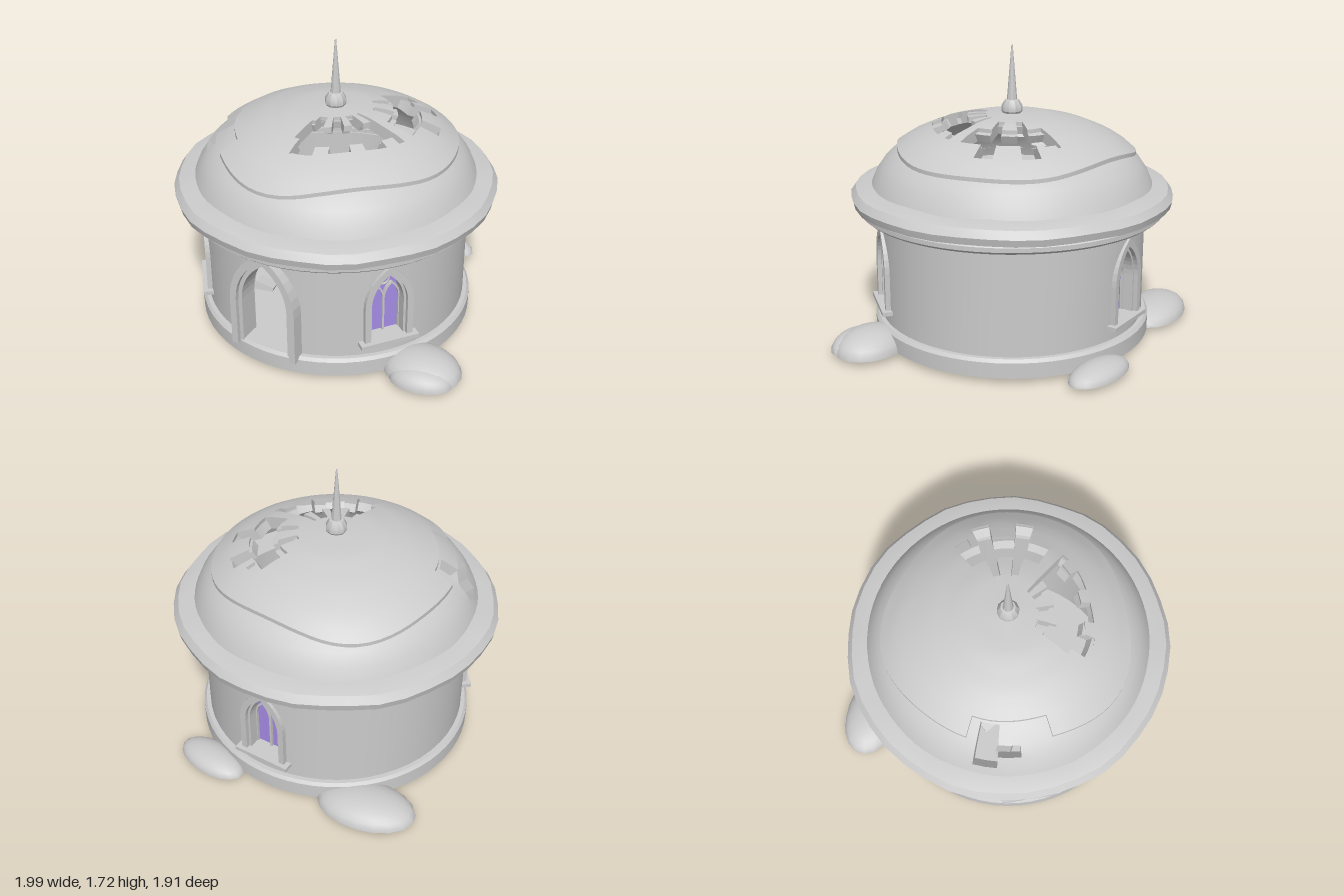
import * as THREE from 'three';
import { toCreasedNormals } from 'three/addons/utils/BufferGeometryUtils.js';

const AX = -0.045; // axis of the rotunda
const stone = new THREE.MeshStandardMaterial({ color: 0xcccccc, side: THREE.DoubleSide });
const glassMat = new THREE.MeshStandardMaterial({ color: 0xa68ce6 });
const woodMat = new THREE.MeshStandardMaterial({ color: 0x7a6248 });
const deg = Math.PI / 180;

function add(parent, name, geo, mat = stone, x = 0, y = 0, z = 0) {
  const m = new THREE.Mesh(geo, mat);
  m.name = name;
  m.position.set(x, y, z);
  parent.add(m);
  return m;
}
const V = pts => pts.map(p => new THREE.Vector2(p[0], p[1]));
const lathe = (pts, n = 64) => toCreasedNormals(new THREE.LatheGeometry(V(pts), n), 0.5);

// Piecewise-linear height over radius
function sample(table, r) {
  for (let i = 1; i < table.length; i++) {
    const [r0, y0] = table[i - 1], [r1, y1] = table[i];
    if (r <= r1) return y0 + (y1 - y0) * (r - r0) / (r1 - r0);
  }
  return table[table.length - 1][1];
}

// Geometry from a list of quads, each four [x, y, z] corners
function quadGeometry(quads) {
  const pos = [];
  for (const [a, b, c, d] of quads) pos.push(...a, ...b, ...c, ...a, ...c, ...d);
  const g = new THREE.BufferGeometry();
  g.setAttribute('position', new THREE.Float32BufferAttribute(pos, 3));
  return toCreasedNormals(g, 0.4);
}

// Thick round shell of polar cells; missing cells get solid edges
function shell(rows, cols, point, solid) {
  const quads = [];
  const at = (i, j, k) => point(i, (j % cols) / cols * Math.PI * 2, k);
  const has = (i, j) => i >= 0 && i < rows && solid(i, ((j + cols) % cols + 0.5) / cols * Math.PI * 2);
  for (let i = 0; i < rows; i++) for (let j = 0; j < cols; j++) {
    if (!has(i, j)) continue;
    for (const k of [0, 1]) {
      const q = [at(i, j, k), at(i, j + 1, k), at(i + 1, j + 1, k), at(i + 1, j, k)];
      quads.push(k ? q : q.reverse());
    }
    const edge = (i0, j0, i1, j1) => quads.push([at(i0, j0, 0), at(i1, j1, 0), at(i1, j1, 1), at(i0, j0, 1)]);
    if (i > 0 && !has(i - 1, j)) edge(i, j, i, j + 1);
    if (!has(i + 1, j)) edge(i + 1, j, i + 1, j + 1);
    if (!has(i, j - 1)) edge(i, j, i + 1, j);
    if (!has(i, j + 1)) edge(i, j + 1, i + 1, j + 1);
  }
  return quadGeometry(quads);
}

// Pointed arch: height over x, outline, band and pane
function archY(x, w, ys, ya) {
  const h = ya - ys, R = (h * h + w * w) / (2 * w);
  return ys + Math.sqrt(Math.max(0, R * R - (Math.abs(x) + R - w) ** 2));
}
function archPts(w, y0, ys, ya) {
  const pts = [[-w, y0]];
  for (let i = 0; i <= 16; i++) {
    const x = -w * Math.cos(i / 16 * Math.PI);
    pts.push([x, archY(x, w, ys, ya)]);
  }
  pts.push([w, y0]);
  return pts;
}
function extrude(pts, depth) {
  return new THREE.ExtrudeGeometry(new THREE.Shape(V(pts)), { depth, bevelEnabled: false });
}
const archBand = (w, t, y0, ys, ya, depth) =>
  extrude([...archPts(w, y0, ys, ya), ...archPts(w - t, y0, ys, ya - t * 1.3).reverse()], depth);

// Round wall pierced by arched openings
const openings = [
  { az: 0, w: 0.165, y0: 0.12, ys: 0.42, ya: 0.72 },
  ...[51.4, 180, -51.4].map(d => ({ az: d * deg, w: 0.115, y0: 0.23, ys: 0.46, ya: 0.67 })),
];
function wallGeometry(ro, ri, yb, yt) {
  const angles = [];
  const off = (a, o) => Math.atan2(Math.sin(a - o.az), Math.cos(a - o.az));
  const half = o => Math.asin(o.w / ro);
  for (let i = 0; i < 56; i++) {
    const a = i / 56 * Math.PI * 2;
    if (!openings.some(o => Math.abs(off(a, o)) < half(o) + 0.01)) angles.push(a);
  }
  for (const o of openings) for (let i = -5; i <= 5; i++)
    angles.push((o.az + half(o) * i / 5 + Math.PI * 2) % (Math.PI * 2));
  angles.sort((a, b) => a - b);
  const quads = [];
  angles.forEach((a, i) => {
    const b = i + 1 < angles.length ? angles[i + 1] : angles[0] + Math.PI * 2;
    const o = openings.find(q => Math.abs(off((a + b) / 2, q)) < half(q));
    const top = t => archY(Math.min(o.w, Math.abs(ro * Math.sin(off(t, o)))), o.w, o.ys, o.ya);
    const spans = o ? [[yb, yb, o.y0, o.y0], [top(a), top(b), yt, yt]] : [[yb, yb, yt, yt]];
    for (const [la, lb, hb, ha] of spans) for (const r of [ro, ri]) {
      const p = (t, y) => [r * Math.sin(t), y, r * Math.cos(t)];
      const q = [p(a, la), p(b, lb), p(b, hb), p(a, ha)];
      quads.push(r === ro ? q : q.reverse());
    }
  });
  return quadGeometry(quads);
}

function makeWindow(az) {
  const g = new THREE.Group();
  g.name = 'window';
  g.rotation.y = az;
  add(g, 'windowFrame', archBand(0.145, 0.035, 0.225, 0.46, 0.71, 0.115), stone, 0, 0, 0.69);
  add(g, 'windowInnerMoulding', archBand(0.118, 0.022, 0.225, 0.46, 0.675, 0.09), stone, 0, 0, 0.69);
  add(g, 'windowSill', new THREE.BoxGeometry(0.35, 0.024, 0.15), stone, 0, 0.224, 0.755);
  add(g, 'windowGlass', extrude(archPts(0.112, 0.225, 0.46, 0.665), 0.012), glassMat, 0, 0, 0.69);
  for (const s of [-1, 1])
    add(g, 'windowLancet', archBand(0.053, 0.011, 0.23, 0.45, 0.555, 0.025), stone, s * 0.048, 0, 0.695);
  add(g, 'windowRoundel', new THREE.TorusGeometry(0.034, 0.007, 6, 20), stone, 0, 0.578, 0.71);
  return g;
}

// Flat-bottomed snow heap
function mound(parent, name, x, z, rx, h, rz, turn = 0, y = 0.035) {
  const pts = [[0, 0]];
  for (let i = 0; i <= 7; i++) pts.push([Math.cos(i / 7 * Math.PI / 2), Math.sin(i / 7 * Math.PI / 2)]);
  const m = add(parent, name, lathe(pts, 18), stone, x, y, z);
  m.scale.set(rx, h, rz);
  m.rotation.y = turn;
}

export function createModel() {
  const model = new THREE.Group();
  model.name = 'ruinedRotunda';
  const hall = new THREE.Group();
  hall.name = 'hall';
  hall.position.x = AX;
  model.add(hall);

  // Base, wall and cornice
  add(hall, 'plinth', lathe([[0.70, 0.035], [0.83, 0.035], [0.83, 0.125], [0.815, 0.143], [0.70, 0.143]]));
  add(hall, 'floor', new THREE.CylinderGeometry(0.82, 0.82, 0.015, 64), stone, 0, 0.043, 0);
  add(hall, 'wall', wallGeometry(0.79, 0.70, 0.1, 0.81));
  add(hall, 'cornice', lathe([[0.70, 0.77], [0.89, 0.77], [0.907, 0.785], [0.907, 0.81], [0.88, 0.84], [0.70, 0.84]]));

  // Snow lying on the eave, slightly uneven
  const eave = new THREE.LatheGeometry(V([[0.76, 0.83], [0.945, 0.83], [0.955, 0.87], [0.925, 0.912], [0.825, 0.935], [0.76, 0.935]]), 40);
  const p = eave.attributes.position;
  for (let i = 0; i < p.count; i++) {
    const a = Math.atan2(p.getZ(i), p.getX(i)), s = 1 + 0.004 * Math.sin(7 * a) + 0.003 * Math.sin(13 * a + 1);
    p.setXYZ(i, p.getX(i) * s, p.getY(i) + 0.003 * Math.sin(11 * a), p.getZ(i) * s);
  }
  add(hall, 'eaveSnow', toCreasedNormals(eave, 0.4));

  // Broken dome and the snow cap over it: holes as inner, outer radius, start, end angle
  const holes = [[0.29, 0.55, -64, 0], [0.22, 0.44, 12, 95], [0.65, 0.775, 143, 165]];
  const broken = (r, a, grow) => holes.some(([r0, r1, a0, a1]) => {
    const d = ((a / deg + 90) % 360) - 90, jag = 0.04 * Math.sign(Math.sin(a * 14)) + grow;
    return r > r0 - jag && r < r1 + jag && d > a0 - grow * 60 && d < a1 + grow * 60;
  });
  const domeY = [[0, 1.315], [0.25, 1.298], [0.45, 1.248], [0.6, 1.183], [0.7, 1.118], [0.755, 1.065], [0.8, 1.0], [0.832, 0.925]];
  const radii = [0, 0.1, 0.17, 0.24, 0.3, 0.36, 0.42, 0.48, 0.54, 0.6, 0.65, 0.7, 0.755, 0.8, 0.832];
  add(hall, 'dome', shell(radii.length - 1, 72, (i, a, k) => {
    const r = radii[i] * (k ? 0.94 : 1);
    return [r * Math.cos(a), sample(domeY, radii[i]) - 0.045 * k, r * Math.sin(a)];
  }, (i, a) => !broken((radii[i] + radii[i + 1]) / 2, a, 0)));

  const capY = [[0, 1.336], [0.25, 1.32], [0.45, 1.271], [0.6, 1.207], [0.7, 1.142], [0.76, 1.08]];
  const rim = a => 0.705 + 0.022 * Math.sin(3 * a + 2.6) + 0.012 * Math.sin(5 * a);
  add(hall, 'snowCap', shell(13, 72, (i, a, k) => {
    const r = i / 13 * rim(a);
    return [r * Math.cos(a), sample(capY, r) - 0.035 * k, r * Math.sin(a)];
  }, (i, a) => {
    const r = (i + 0.5) / 13 * rim(a), d = a / deg;
    return !broken(r, a, 0.01) && !(d > 128 && d < 168 && r > 0.57);
  }));

  // Finial
  add(hall, 'finial', lathe([[0, 1.28], [0.045, 1.28], [0.052, 1.33], [0.062, 1.345], [0.062, 1.375], [0.042, 1.41], [0.03, 1.412], [0.004, 1.73], [0, 1.73]], 10));

  // Windows and doorway
  for (const o of openings.slice(1)) hall.add(makeWindow(o.az));
  add(hall, 'doorFrame', archBand(0.212, 0.04, 0.115, 0.42, 0.77, 0.15), stone, 0, 0, 0.685);
  add(hall, 'doorInnerMoulding', archBand(0.178, 0.03, 0.115, 0.42, 0.725, 0.125), stone, 0, 0, 0.685);
  const hinge = new THREE.Group();
  hinge.name = 'door';
  hinge.position.set(0.145, 0, 0.70);
  hinge.rotation.y = -60 * deg;
  hall.add(hinge);
  add(hinge, 'doorLeaf', new THREE.BoxGeometry(0.18, 0.44, 0.02), woodMat, -0.09, 0.34, 0);
  add(hall, 'threshold', new THREE.BoxGeometry(0.26, 0.03, 0.1), stone, 0, 0.045, 0.74);

  // Fallen blocks and drifted snow inside
  mound(hall, 'innerSnow', 0.06, -0.04, 0.34, 0.1, 0.33, 0, 0.032);
  const rubble = [[0.12, -0.2], [0.25, -0.05], [0.1, 0.1], [0.22, 0.2], [-0.02, -0.1], [-0.4, 0.2], [-0.47, -0.16], [-0.3, 0.02]];
  rubble.forEach(([x, z], i) => {
    const b = add(hall, 'rubble', new THREE.BoxGeometry(0.12, 0.06, 0.09), stone, x, 0.055, z);
    b.rotation.set(0.25 * Math.sin(i * 2), i * 1.3, 0.3 * Math.cos(i * 3));
  });

  // Snow heaps against the plinth
  mound(model, 'snowHeap', 0.76, 0.43, 0.235, 0.12, 0.19);
  mound(model, 'snowHeapLobe', 0.8, 0.53, 0.18, 0.09, 0.11, 0.2);
  mound(model, 'snowHeap', -0.66, -0.67, 0.29, 0.1, 0.18, 0.2);
  mound(model, 'snowHeap', 0.31, -0.83, 0.23, 0.075, 0.12, -0.12);
  return model;
}
